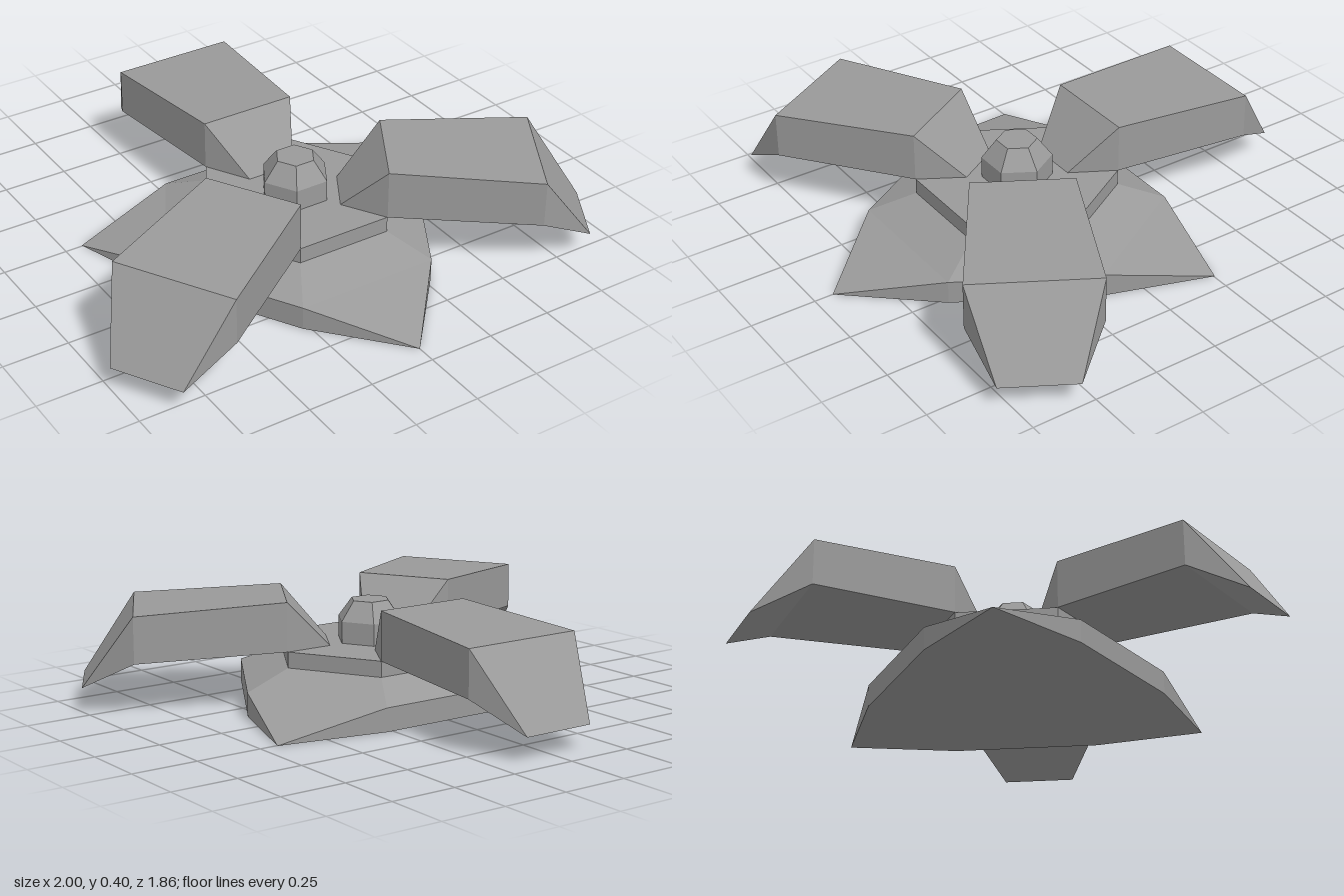
import * as THREE from 'three';

const material = new THREE.MeshStandardMaterial({ color: 0x9a9a9a, flatShading: true });

// Faceted solid through rectangular sections [distance, topY, bottomY, halfWidth] along +z.
function loft(sections) {
  const rings = sections.map(([z, top, bottom, w]) =>
    [[w, top], [-w, top], [-w, bottom], [w, bottom]].map(([x, y]) => new THREE.Vector3(x, y, z)));
  const points = [];
  const triangle = (a, b, c) => {
    // Tapered ends collapse some corners; leave out the empty triangles
    if (!a.equals(b) && !b.equals(c) && !c.equals(a)) points.push(a, b, c);
  };
  for (let k = 0; k < rings.length - 1; k++) {
    for (let i = 0; i < 4; i++) {
      const j = (i + 1) % 4;
      triangle(rings[k][i], rings[k][j], rings[k + 1][j]);
      triangle(rings[k][i], rings[k + 1][j], rings[k + 1][i]);
    }
  }
  const geometry = new THREE.BufferGeometry().setFromPoints(points);
  geometry.computeVertexNormals();
  return geometry;
}

// Six-sided turned solid with corners on the x axis; profile runs upward.
function hexSolid(profile) {
  return new THREE.LatheGeometry(profile.map(([r, y]) => new THREE.Vector2(r, y)), 6, Math.PI / 6);
}

export function createModel() {
  const model = new THREE.Group();
  const hub = new THREE.Group();
  hub.name = 'hub';
  hub.position.z = 0.14;
  model.add(hub);

  const add = (name, geometry, angle = 0) => {
    const mesh = new THREE.Mesh(geometry, material);
    mesh.name = name;
    mesh.rotation.y = angle;
    hub.add(mesh);
  };

  // Stepped hexagonal base with its upper plate
  const baseRadius = 0.55;
  add('base', hexSolid([
    [0, 0], [baseRadius, 0], [baseRadius, 0.088], [0.372, 0.155], [0.372, 0.215], [0, 0.215],
  ]));

  // Central knob
  add('knob', hexSolid([[0.13, 0.215], [0.13, 0.297], [0.075, 0.37], [0, 0.37]]));

  // Three pointed feet, each starting flush on a flat side of the base
  const foot = loft([
    [baseRadius * Math.cos(Math.PI / 6), 0.088, 0, baseRadius / 2],
    [0.788, 0, 0, 0],
  ]);

  // Three drooping arms between the feet
  const arm = loft([
    [0.16, 0.215, 0.215, 0.095],
    [0.323, 0.4, 0.215, 0.187],
    [0.88, 0.37, 0.195, 0.235],
    [1.073, 0.09, 0.09, 0.14],
  ]);

  for (let i = 0; i < 3; i++) {
    const angle = (i * 2 * Math.PI) / 3;
    add('foot', foot, angle);
    add('arm', arm, angle + Math.PI);
  }
  return model;
}
